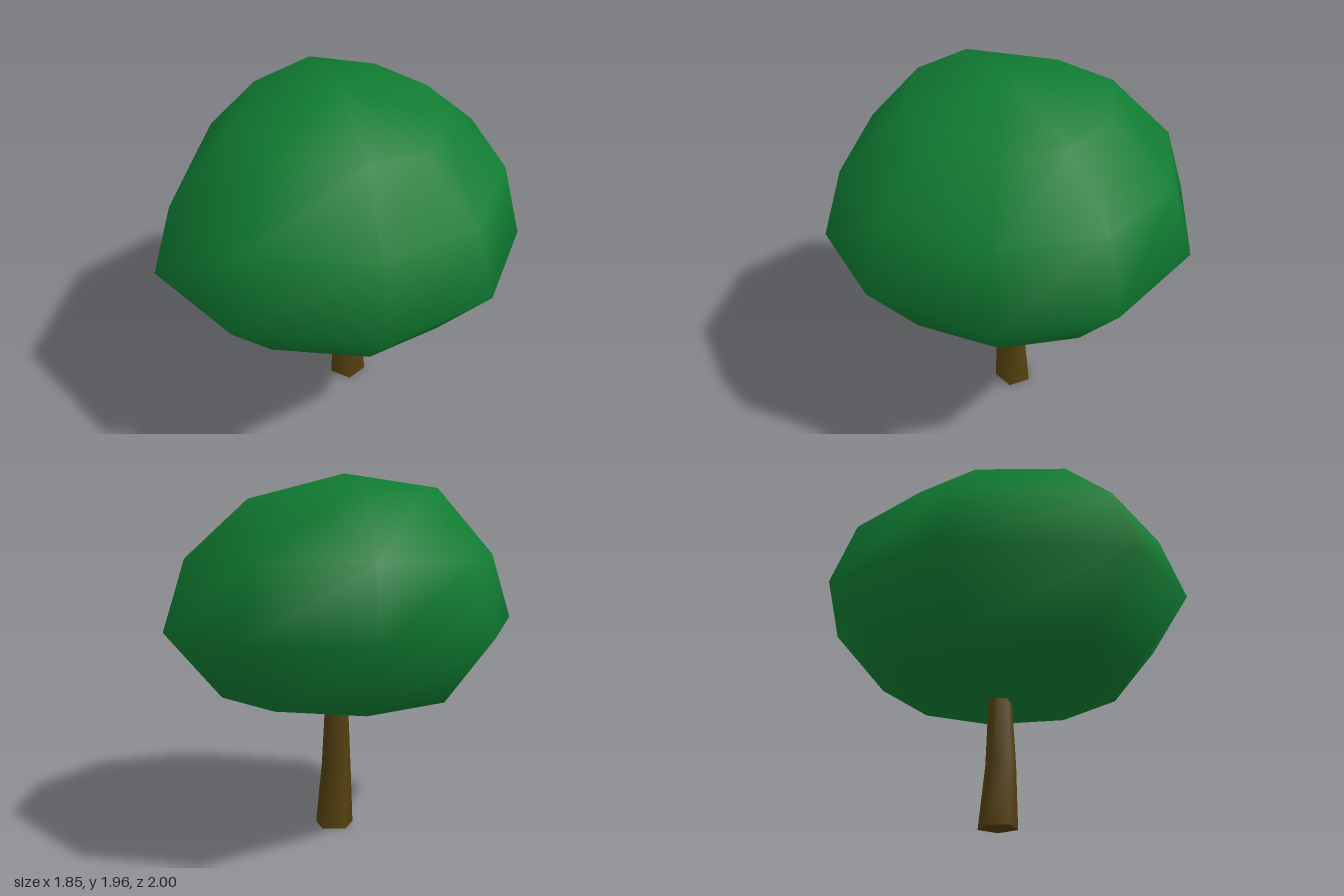
import * as THREE from 'three';
import { toCreasedNormals } from 'three/addons/utils/BufferGeometryUtils.js';

const leafGreen = new THREE.MeshStandardMaterial({ color: 0x107c32 });
leafGreen.name = 'leaf green';
const barkBrown = new THREE.MeshStandardMaterial({ color: 0x54400f });
barkBrown.name = 'bark brown';

// Skin a stack of equal-sized rings (bottom to top), closed by a pole at each end
function loft(rings, bottom, top) {
  const n = rings[0].length;
  const points = [...rings.flat(), bottom, top];
  const low = points.length - 2, high = points.length - 1;
  const last = (rings.length - 1) * n;
  const index = [];
  for (let i = 0; i < n; i++) {
    const j = (i + 1) % n;
    index.push(low, j, i);
    for (let k = 0; k < last; k += n) {
      index.push(k + i, k + j, k + n + j, k + i, k + n + j, k + n + i);
    }
    index.push(last + i, last + j, high);
  }
  const geometry = new THREE.BufferGeometry().setFromPoints(points);
  geometry.setIndex(index);
  geometry.computeVertexNormals();
  return geometry;
}

// Irregular nine-sided crown: plan outline [x, z], counter-clockwise from above
const outline = [
  [0.92, -0.29], [0.61, -0.79], [0.01, -1.0], [-0.62, -0.825], [-0.93, -0.175],
  [-0.73, 0.725], [-0.175, 0.995], [0.52, 0.825], [0.905, 0.365],
];
const middleHeights = [1.11, 1.15, 1.15, 1.15, 1.15, 1.15, 1.15, 1.15, 1.17];
const topHeights = [1.79, 1.82, 1.84, 1.87, 1.86, 1.89, 1.88, 1.84, 1.8];

function createCrown() {
  const ring = (scale, height) => outline.map(([x, z], i) =>
    new THREE.Vector3(x * scale, Array.isArray(height) ? height[i] : height, z * scale));
  const rings = [ring(0.7, 0.79), ring(1, middleHeights), ring(0.88, 1.52), ring(0.54, topHeights)];
  const geometry = loft(rings, new THREE.Vector3(0.02, 0.68, 0), new THREE.Vector3(-0.01, 1.96, 0));
  const mesh = new THREE.Mesh(geometry, leafGreen);
  mesh.name = 'crown';
  return mesh;
}

// Tapering, slightly bent five-sided trunk: [y, centre x, centre z, radius]
function createTrunk() {
  const sections = [
    [0, 0.03, -0.05, 0.11],
    [0.34, 0.025, -0.035, 0.086],
    [0.85, 0.018, -0.04, 0.06],
  ];
  const rings = sections.map(([y, cx, cz, r]) => Array.from({ length: 5 }, (_, i) => {
    const a = THREE.MathUtils.degToRad(9 + 72 * i);
    return new THREE.Vector3(cx + r * Math.cos(a), y, cz - r * Math.sin(a));
  }));
  const geometry = loft(rings, new THREE.Vector3(0.03, 0, -0.05), new THREE.Vector3(0.018, 0.85, -0.04));
  const mesh = new THREE.Mesh(toCreasedNormals(geometry, 1.35), barkBrown);
  mesh.name = 'trunk';
  return mesh;
}

export function createModel() {
  const tree = new THREE.Group();
  tree.name = 'tree';
  tree.add(createTrunk(), createCrown());
  return tree;
}
